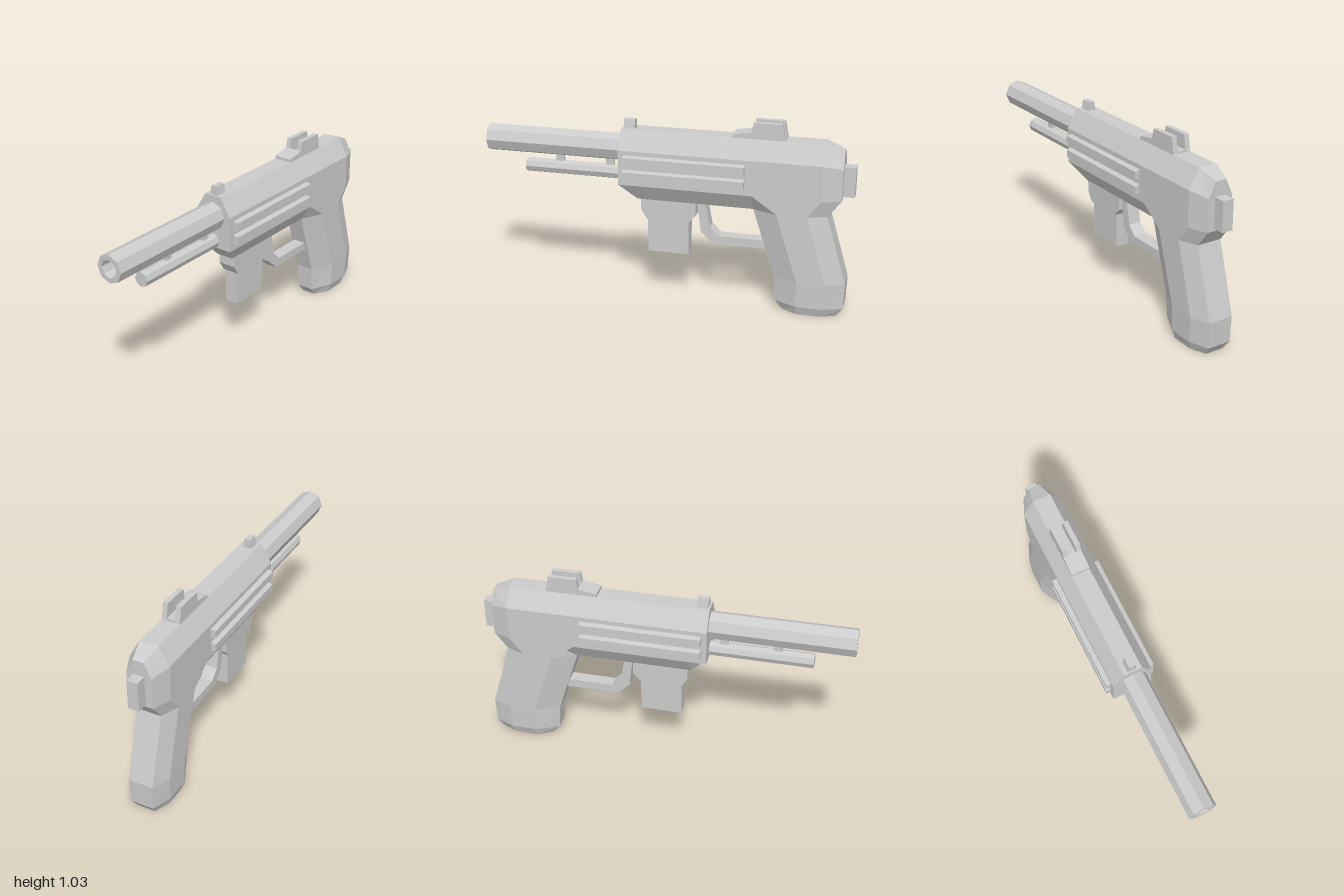
import * as THREE from 'three';

const material = new THREE.MeshStandardMaterial({ color: 0xcccccc, flatShading: true, side: THREE.DoubleSide });

export function createModel() {
  const group = new THREE.Group();

  function add(name, geometry, x = 0, y = 0, z = 0) {
    const mesh = new THREE.Mesh(geometry, material);
    mesh.name = name;
    mesh.position.set(x, y, z);
    group.add(mesh);
    return mesh;
  }

  // Joins rings of equal length; rings run counter-clockwise seen from the first end
  function loft(rings) {
    const out = [];
    const tri = (a, b, c) => out.push(...a, ...b, ...c);
    const n = rings[0].length;
    for (let s = 0; s < rings.length - 1; s++) {
      const a = rings[s], b = rings[s + 1];
      for (let i = 0; i < n; i++) {
        const j = (i + 1) % n;
        tri(a[i], b[i], a[j]);
        tri(a[j], b[i], b[j]);
      }
    }
    const first = rings[0], last = rings[rings.length - 1];
    for (let i = 1; i < n - 1; i++) {
      tri(first[0], first[i], first[i + 1]);
      tri(last[0], last[i + 1], last[i]);
    }
    const g = new THREE.BufferGeometry();
    g.setAttribute('position', new THREE.Float32BufferAttribute(out, 3));
    g.computeVertexNormals();
    return g;
  }

  // Side profile of [z, y] points, extruded across x and centred
  function sideProfile(points, width) {
    const shape = new THREE.Shape(points.map(p => new THREE.Vector2(...p)));
    return new THREE.ExtrudeGeometry(shape, { depth: width, bevelEnabled: false })
      .translate(0, 0, -width / 2).rotateY(-Math.PI / 2);
  }

  // Front profile of [x, y] points, extruded along z
  function frontProfile(points, length) {
    const shape = new THREE.Shape(points.map(p => new THREE.Vector2(...p)));
    return new THREE.ExtrudeGeometry(shape, { depth: length, bevelEnabled: false });
  }

  // Receiver: chamfered sections from front to back
  // [z, top half, top y, side half, shoulder y, lower y, bottom half, bottom y]
  const body = [
    [0.24, 0.05, 0.94, 0.108, 0.84, 0.65, 0.05, 0.65],
    [0.15, 0.05, 0.94, 0.108, 0.84, 0.65, 0.05, 0.56],
    [-0.84, 0.05, 0.94, 0.108, 0.84, 0.65, 0.05, 0.56],
    [-0.94, 0.03, 0.9, 0.068, 0.82, 0.65, 0.05, 0.65],
  ];
  add('receiver', loft(body.map(([z, t, ty, h, sy, ly, b, by]) => [
    [b, by, z], [h, ly, z], [h, sy, z], [t, ty, z],
    [-t, ty, z], [-h, sy, z], [-h, ly, z], [-b, by, z],
  ])));

  // Grip: octagonal sections from top to bottom
  // [y, front z, front side z, back side z, back z, side half, front half, back half]
  const grip = [
    [0.65, -0.48, -0.48, -0.84, -0.94, 0.108, 0.05, 0.068],
    [0.56, -0.48, -0.61, -0.77, -0.87, 0.108, 0.05, 0.068],
    [0.19, -0.6, -0.73, -0.88, -0.98, 0.108, 0.05, 0.068],
    [0.05, -0.61, -0.73, -0.87, -0.975, 0.104, 0.045, 0.064],
    [0, -0.65, -0.73, -0.86, -0.94, 0.085, 0.038, 0.05],
  ];
  add('grip', loft(grip.map(([y, f, fs, bs, b, h, fi, bi]) => [
    [fi, y, f], [h, y, fs], [h, y, bs], [bi, y, b],
    [-bi, y, b], [-h, y, bs], [-h, y, fs], [-fi, y, f],
  ])));

  // Hollow octagonal barrel with the rod and studs under it
  const barrel = [[0.075, 0.2], [0.075, 1], [0.048, 1], [0.048, 0.8], [0, 0.8]];
  add('barrel', new THREE.LatheGeometry(barrel.map(p => new THREE.Vector2(...p)), 8)
    .rotateX(Math.PI / 2), 0, 0.83, 0);
  add('lowerRod', new THREE.CylinderGeometry(0.04, 0.04, 0.59, 8).rotateX(Math.PI / 2), 0, 0.688, 0.495);
  for (const z of [0.6, 0.315]) add('rodStud', new THREE.BoxGeometry(0.022, 0.08, 0.045), 0, 0.74, z);

  // Two tapered rails on each side
  for (const side of [1, -1]) {
    for (const y of [0.79, 0.711]) {
      add('sideRail', frontProfile([
        [side * 0.1, y - 0.026], [side * 0.108, y - 0.026], [side * 0.135, y - 0.019],
        [side * 0.135, y + 0.019], [side * 0.108, y + 0.026], [side * 0.1, y + 0.026],
      ], 0.65), 0, 0, -0.44);
    }
  }

  // Magazine and its housing
  add('magazineHousing', sideProfile([
    [0.13, 0.58], [0.13, 0.5], [0.097, 0.447], [-0.13, 0.447], [-0.17, 0.49], [-0.17, 0.58],
  ], 0.1));
  add('magazine', new THREE.BoxGeometry(0.074, 0.2, 0.225), 0, 0.36, -0.017);

  // Trigger guard
  add('triggerGuard', sideProfile([
    [-0.175, 0.57], [-0.195, 0.4], [-0.265, 0.335], [-0.6, 0.335],
    [-0.6, 0.382], [-0.295, 0.382], [-0.245, 0.43], [-0.218, 0.57],
  ], 0.07));

  // Front sight
  add('frontSight', frontProfile([[-0.027, 0.93], [0.027, 0.93], [0.016, 0.988], [-0.016, 0.988]], 0.06), 0, 0, 0.17);

  // Rear sight: ramp, notch floor and two posts
  add('rearSightRamp', sideProfile([[-0.36, 0.93], [-0.36, 0.957], [-0.46, 0.974], [-0.46, 0.93]], 0.1));
  add('rearSightFloor', new THREE.BoxGeometry(0.08, 0.025, 0.18), 0, 0.9395, -0.545);
  for (const side of [1, -1]) {
    add('rearSightPost', sideProfile([
      [-0.455, 0.93], [-0.46, 0.974], [-0.47, 1.027], [-0.62, 1.027], [-0.64, 0.93],
    ], 0.027), side * 0.0365);
  }

  // Rear block
  add('rearBlock', new THREE.BoxGeometry(0.06, 0.16, 0.08), 0, 0.742, -0.96);

  return group;
}
